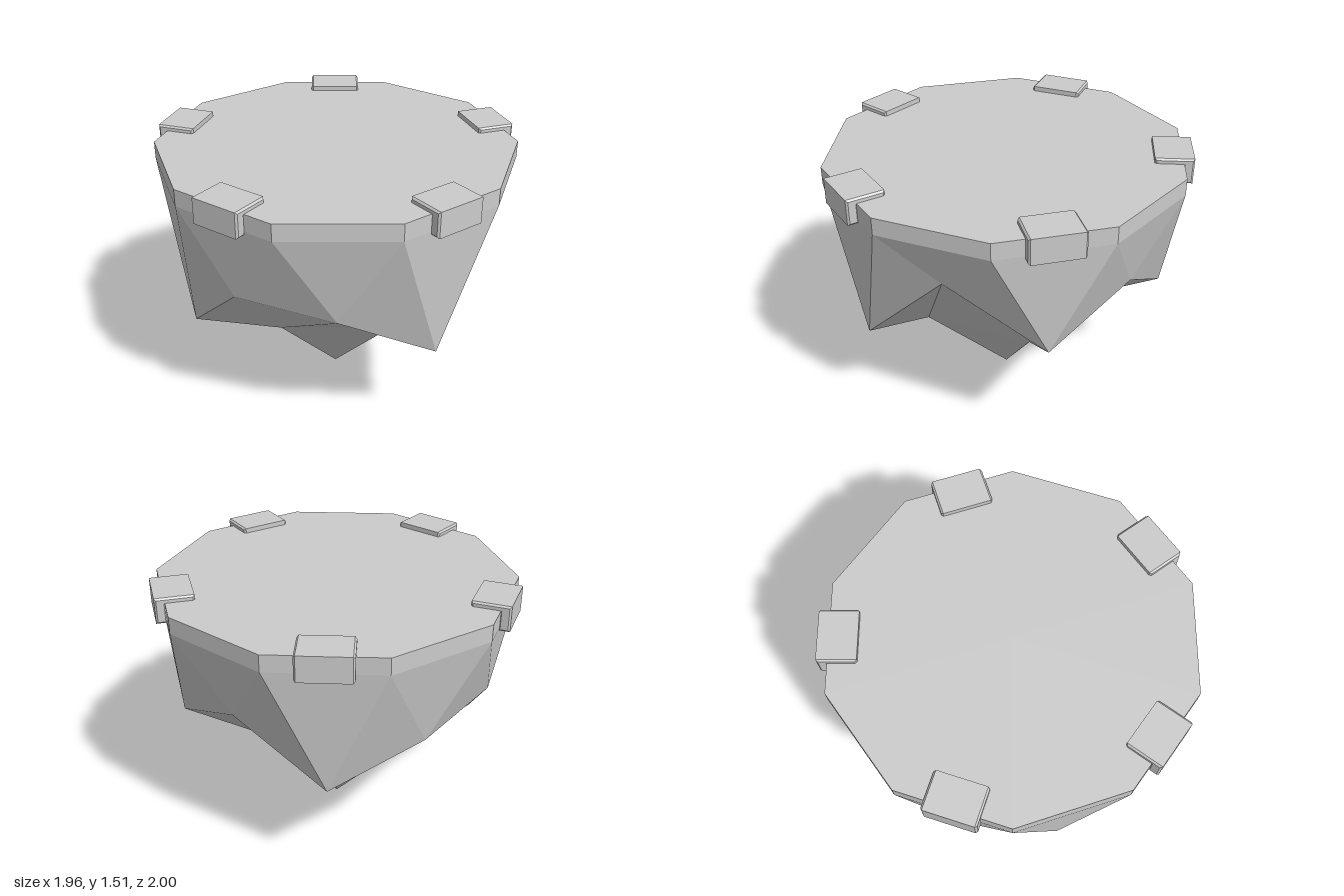
import * as THREE from 'three';

const RIM_Y = 1.39, TOP_Y = 1.485, STEP = Math.PI / 5;

const material = () => new THREE.MeshStandardMaterial({ color: 0xcccccc, flatShading: true });

// Point on a ring; k counts tenths of a turn from +x towards +z
const polar = (k, r, y) => [Math.cos(k * STEP) * r, y, Math.sin(k * STEP) * r];

// Faceted underside: rim ring, jagged middle ring, five-point ring and tip
function rockGeometry() {
  const heights = [1.12, 0.59, 0.86, 0.94, 0.49, 0.94, 0.86, 0.66, 0.98, 0.75];
  const rim = k => polar(k + 0.5, 1, RIM_Y);
  const mid = k => polar(k, k % 2 ? 0.894 : 0.851, heights[k % 10]);
  const low = k => polar(k, 0.526, 0.54);
  const tip = [0, 0, 0];
  const points = [];
  const tri = (a, b, c) => points.push(...a, ...b, ...c);
  for (let k = 0; k < 10; k++) {
    tri(rim(k - 1), rim(k), mid(k));
    tri(mid(k), rim(k), mid(k + 1));
    tri(mid(k), mid(k + 1), low(k % 2 ? k : k + 1));
    if (k % 2) {
      tri(low(k), mid(k + 1), low(k + 2));
      tri(low(k), low(k + 2), tip);
    }
  }
  const geometry = new THREE.BufferGeometry();
  geometry.setAttribute('position', new THREE.Float32BufferAttribute(points, 3));
  geometry.computeVertexNormals();
  return geometry;
}

// L-shaped stone that hooks over the rim, with small chamfers
function edgeStoneGeometry() {
  const bevel = 0.01, length = 0.29;
  const profile = [[0.805, 1.482], [0.955, 1.482], [0.955, 1.38], [0.995, 1.38], [0.995, 1.503], [0.805, 1.503]];
  const shape = new THREE.Shape(profile.map(([x, y]) => new THREE.Vector2(x, y)));
  const geometry = new THREE.ExtrudeGeometry(shape, {
    depth: length - 2 * bevel, bevelEnabled: true, bevelSize: bevel, bevelThickness: bevel, bevelSegments: 1,
  });
  return geometry.translate(0, 0, bevel - length / 2);
}

export function createModel() {
  const group = new THREE.Group();
  group.name = 'floatingIsland';
  const island = new THREE.Group();
  island.name = 'island';
  island.position.x = 0.025;
  group.add(island);

  const add = (geometry, name) => {
    const mesh = new THREE.Mesh(geometry, material());
    mesh.name = name;
    island.add(mesh);
    return mesh;
  };

  add(rockGeometry(), 'rockUnderside');

  // Flat ten-sided ground slab
  const ground = add(new THREE.CylinderGeometry(1, 1, TOP_Y - RIM_Y, 10), 'groundSlab');
  ground.position.y = (TOP_Y + RIM_Y) / 2;

  // Five stones on every other side of the rim
  const stone = edgeStoneGeometry();
  for (let k = 1; k < 10; k += 2) {
    add(stone, 'edgeStone').rotation.y = -k * STEP;
  }
  return group;
}
